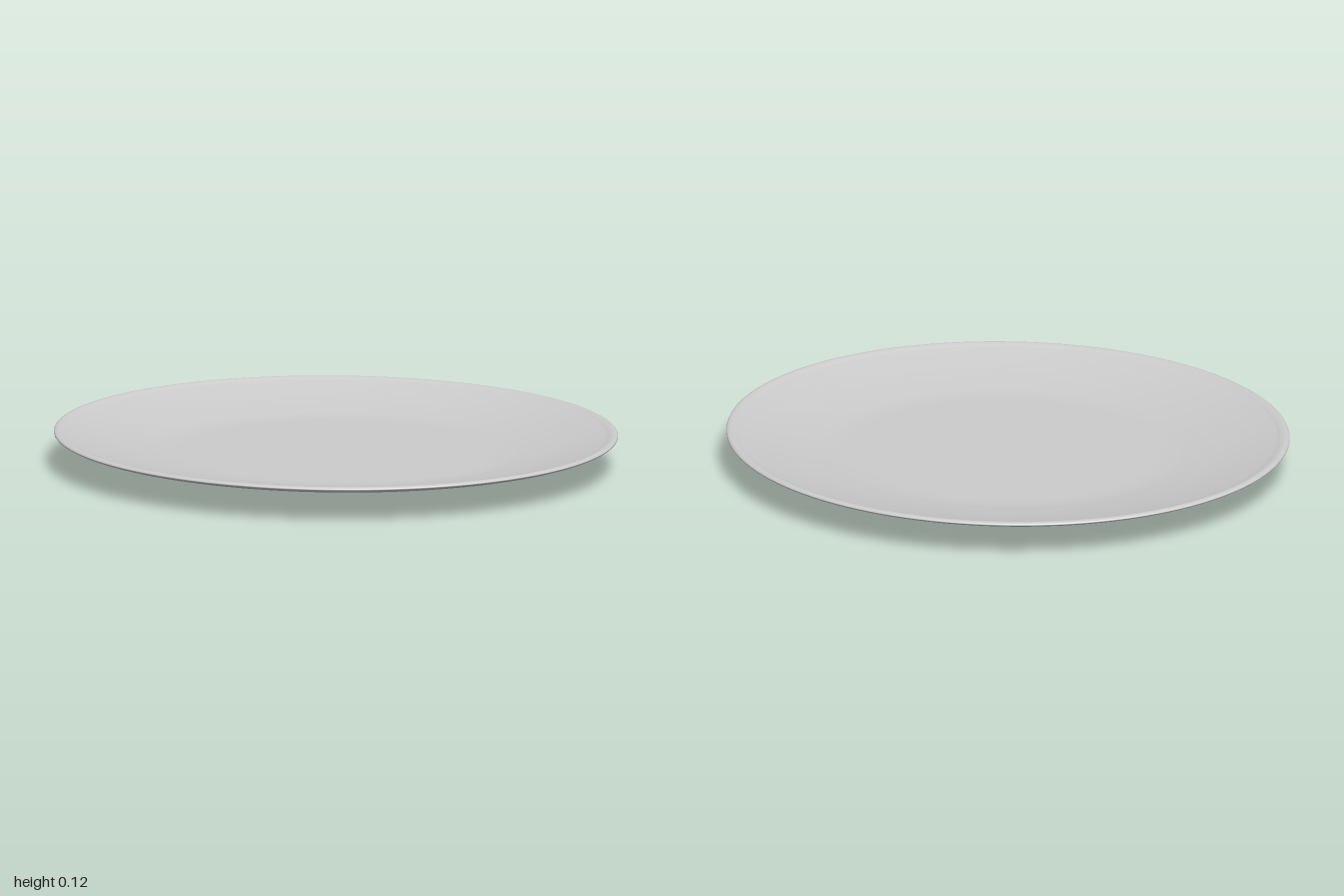
import * as THREE from 'three';

const SEGMENTS = 128;

// Lathe a profile, with the centre drifting slightly off axis and an oval outline
function turned(points) {
  const geo = new THREE.LatheGeometry(points, SEGMENTS);
  const pos = geo.attributes.position;
  for (let i = 0; i < pos.count; i++) {
    const x = pos.getX(i), z = pos.getZ(i);
    const drift = Math.max(0, 1 - x * x - z * z);
    pos.setXYZ(i, x + 0.022 * drift, pos.getY(i), z - 0.005 * drift);
  }
  geo.scale(1.001, 1, 0.955);
  geo.rotateY(-0.2);
  return geo;
}

function smooth(coords, divisions) {
  const curve = new THREE.SplineCurve(coords.map(([r, y]) => new THREE.Vector2(r, y)));
  return curve.getPoints(divisions);
}

export function createModel() {
  const group = new THREE.Group();
  group.name = 'plate';
  const material = new THREE.MeshStandardMaterial({ color: 0xcccccc });
  const add = (name, points) => {
    const mesh = new THREE.Mesh(turned(points), material);
    mesh.name = name;
    group.add(mesh);
  };

  // Foot flare, underside, rounded rim and sloping upper side
  const shell = smooth([
    [0.42, 0], [0.438, 0.015], [0.468, 0.028], [0.52, 0.036], [0.62, 0.046],
    [0.8, 0.071], [0.94, 0.097], [0.982, 0.107], [0.998, 0.115], [0.996, 0.122],
    [0.984, 0.125], [0.968, 0.122], [0.94, 0.114], [0.8, 0.085], [0.66, 0.064],
    [0.6, 0.058], [0.55, 0.056],
  ], 96);
  // Flat well in the middle of the upper side
  shell.push(new THREE.Vector2(0.5, 0.056), new THREE.Vector2(0.25, 0.056), new THREE.Vector2(0, 0.056));
  add('plateBody', shell);

  // Flat base with a crisp edge
  add('footBase', [new THREE.Vector2(0, 0), new THREE.Vector2(0.21, 0), new THREE.Vector2(0.42, 0)]);

  return group;
}
